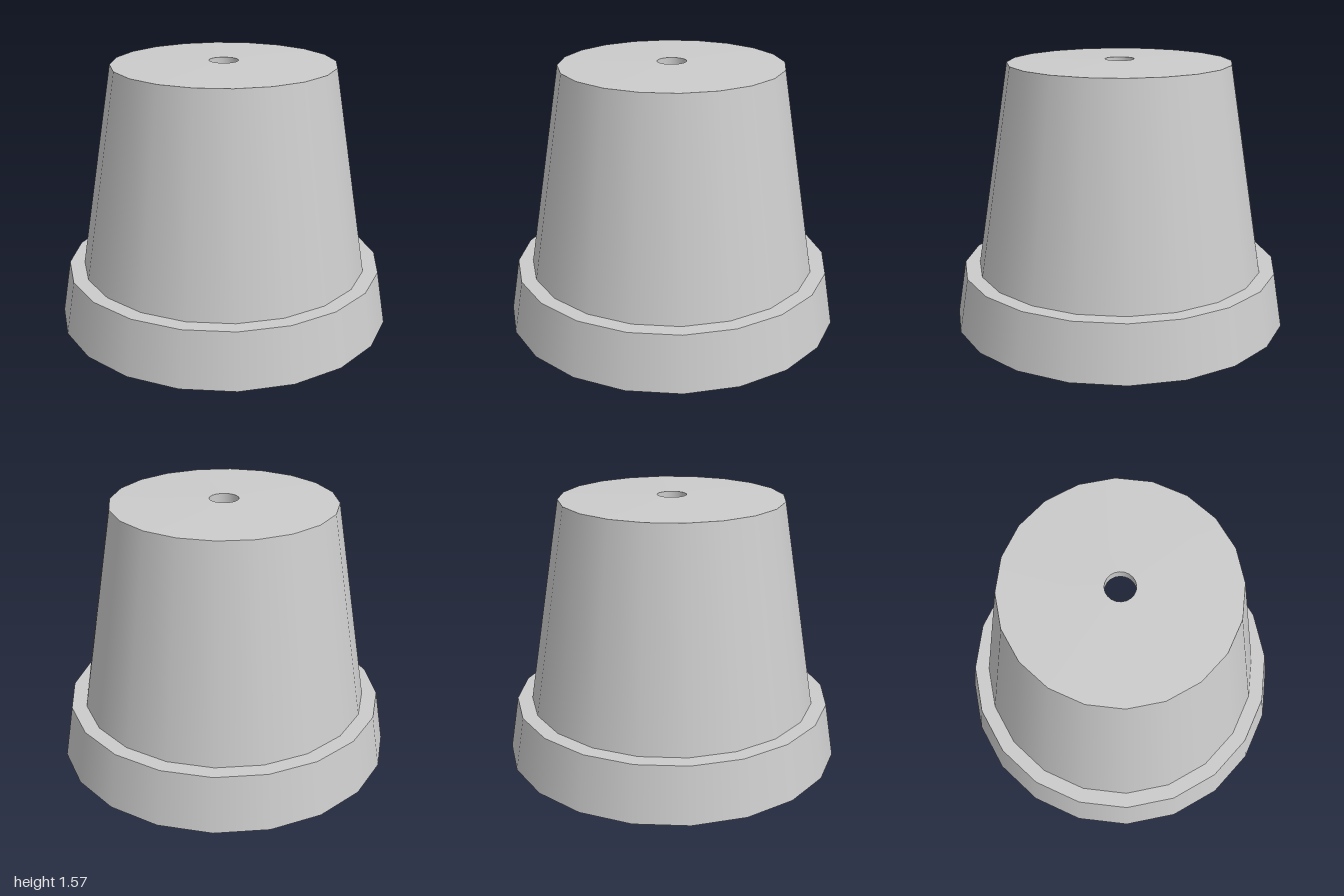
import * as THREE from 'three';
import { mergeGeometries } from 'three/addons/utils/BufferGeometryUtils.js';

const SIDES = 20;
const material = new THREE.MeshStandardMaterial({ color: 0xcccccc });

// Revolves each profile edge on its own, so faces are smooth around and creased between bands
function revolve(name, profile) {
  const bands = [];
  for (let i = 0; i < profile.length - 1; i++) {
    const edge = [profile[i], profile[i + 1]].map(([r, y]) => new THREE.Vector2(r, y));
    bands.push(new THREE.LatheGeometry(edge, SIDES));
  }
  const mesh = new THREE.Mesh(mergeGeometries(bands), material);
  mesh.name = name;
  return mesh;
}

export function createModel() {
  const group = new THREE.Group();
  group.name = 'upturnedFlowerPot';

  // Shared corners of the hollow section
  const shoulder = [0.857, 0.335];
  const topEdge = [0.653, 1.555];
  const holeTop = [0.085, 1.57];
  const holeBottom = [0.085, 1.51];
  const ceilingEdge = [0.605, 1.495];
  const ledgeInner = [0.815, 0.275];
  const rimInner = [0.945, 0];

  // Flared collar around the mouth: lip, outer face, shoulder
  group.add(revolve('rimOutside', [rimInner, [1, 0.01], [0.945, 0.335], shoulder]));
  // Tapered wall
  group.add(revolve('wallOutside', [shoulder, topEdge]));
  // Slightly domed base with the drain hole through it
  group.add(revolve('base', [topEdge, holeTop, holeBottom, ceilingEdge]));
  // Hollow interior
  group.add(revolve('wallInside', [ceilingEdge, ledgeInner]));
  group.add(revolve('rimInside', [ledgeInner, [0.895, 0.275], rimInner]));

  return group;
}
